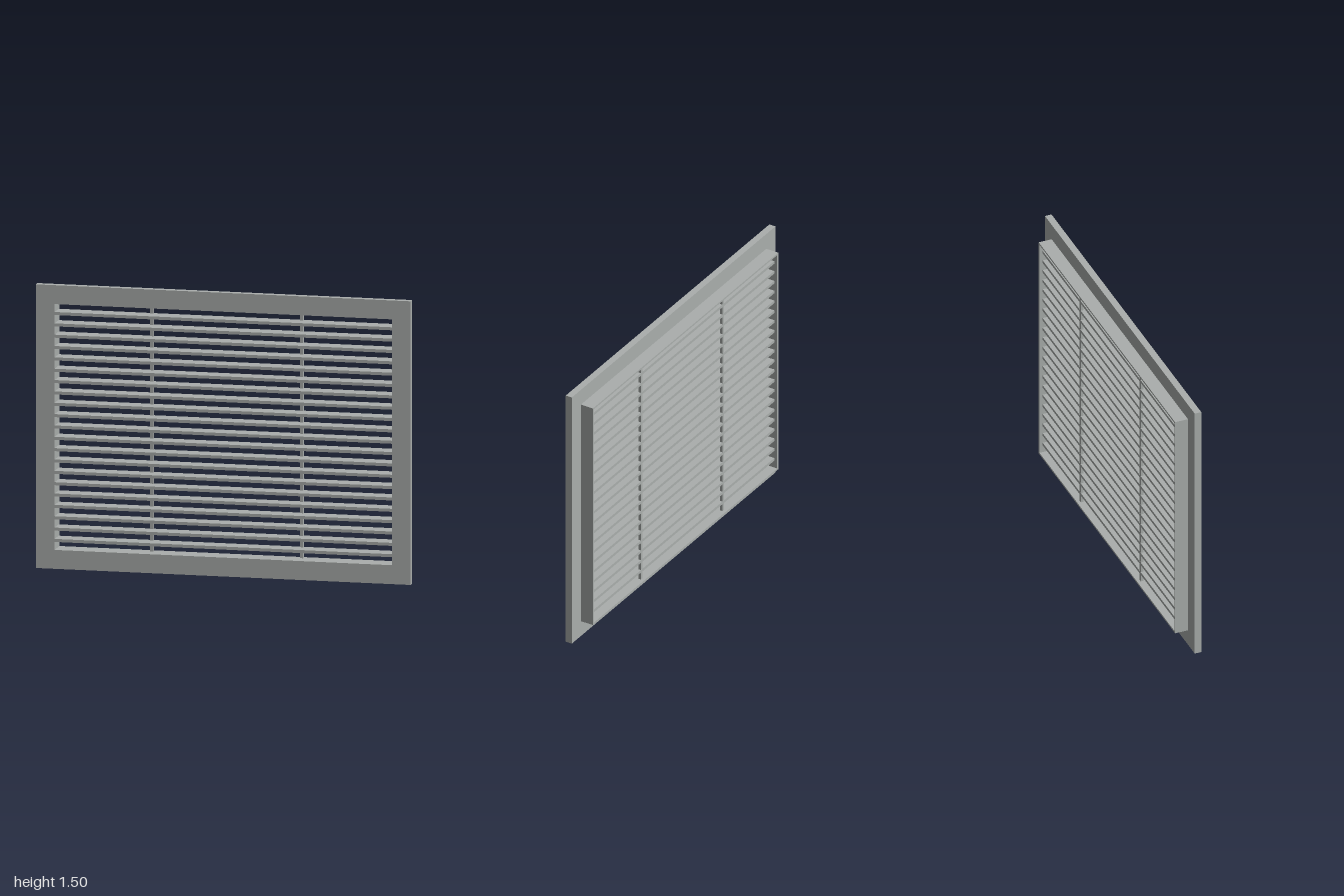
import * as THREE from 'three';

const grey = new THREE.MeshStandardMaterial({ color: 0xaaaeac });
grey.name = 'satin grey';

// Upright rectangular ring centred on x = 0, y = 0.75, between two depths
function ring(name, w, h, innerW, innerH, zBack, zFront) {
  const rect = (P, a, b) => new P([
    new THREE.Vector2(-a / 2, -b / 2), new THREE.Vector2(a / 2, -b / 2),
    new THREE.Vector2(a / 2, b / 2), new THREE.Vector2(-a / 2, b / 2),
  ]);
  const shape = rect(THREE.Shape, w, h);
  shape.holes.push(rect(THREE.Path, innerW, innerH));
  const geo = new THREE.ExtrudeGeometry(shape, { depth: zFront - zBack, bevelEnabled: false });
  const mesh = new THREE.Mesh(geo, grey);
  mesh.position.set(0, 0.75, zBack);
  mesh.name = name;
  return mesh;
}

function box(name, w, h, x, y, zBack, zFront) {
  const mesh = new THREE.Mesh(new THREE.BoxGeometry(w, h, zFront - zBack), grey);
  mesh.position.set(x, y, (zBack + zFront) / 2);
  mesh.name = name;
  return mesh;
}

export function createModel() {
  const model = new THREE.Group();
  model.name = 'ventGrille';

  // Wide face frame and the thin collar behind it
  model.add(ring('faceFrame', 2, 1.5, 1.8, 1.3, 0.018, 0.055));
  model.add(ring('rearCollar', 1.82, 1.32, 1.8, 1.3, -0.055, 0.018));

  // Horizontal slats
  const slats = new THREE.Group();
  slats.name = 'slats';
  for (let i = 0; i < 21; i++) {
    slats.add(box('slat', 1.8, 0.016, 0, 0.15 + i * 0.06, -0.037, 0.054));
  }
  model.add(slats);

  // Two upright support bars set into the back of the slats
  for (const side of [-1, 1]) {
    model.add(box(side > 0 ? 'leftSupportBar' : 'rightSupportBar',
      0.018, 1.3, side * 0.4, 0.75, -0.036, -0.022));
  }
  return model;
}
